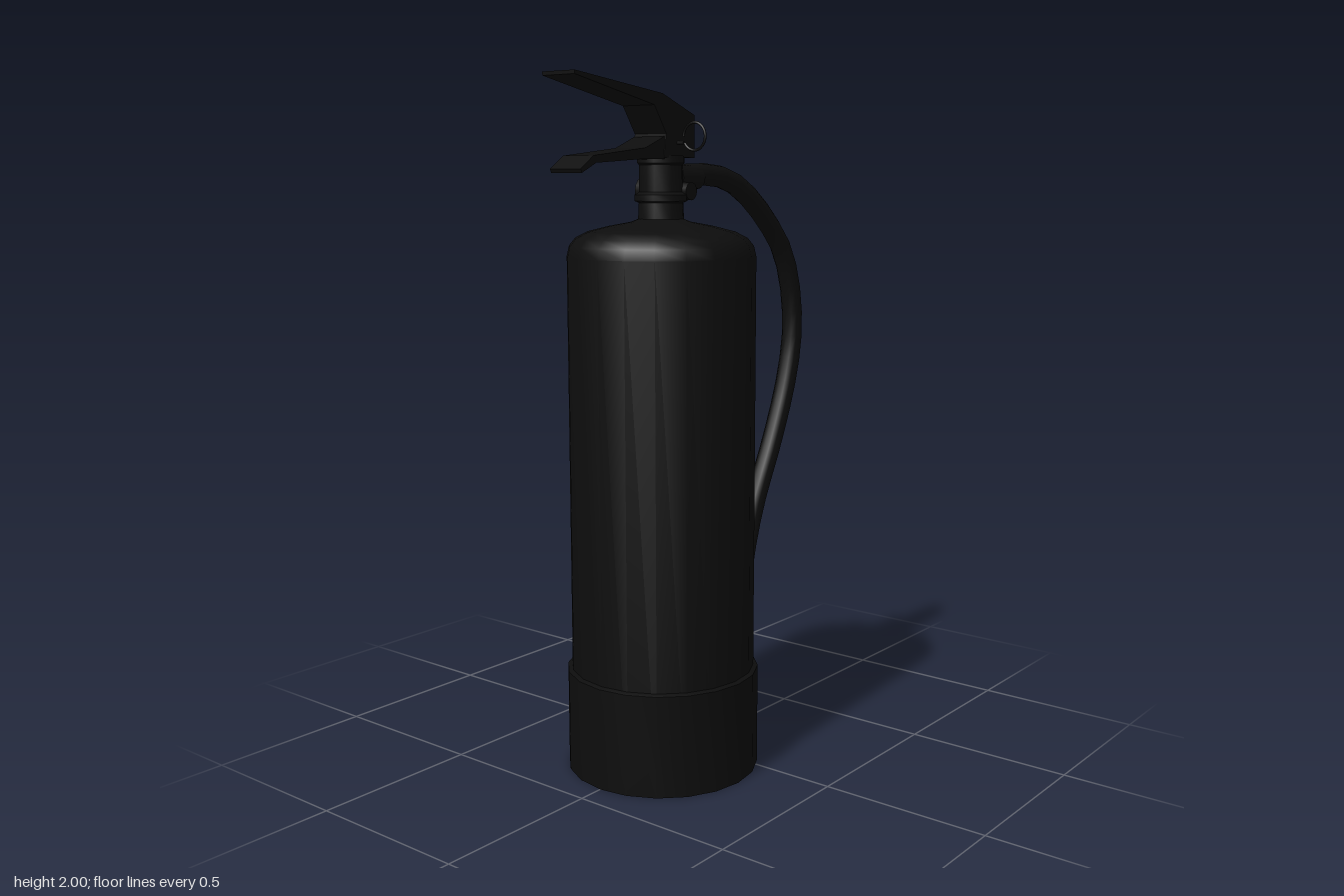
import * as THREE from 'three';
import { toCreasedNormals } from 'three/addons/utils/BufferGeometryUtils.js';

const AXIS = -0.14; // x of the tank's axis
const material = new THREE.MeshStandardMaterial({ color: 0x0d0d0d });
const v2 = (p) => p.map(([x, y]) => new THREE.Vector2(x, y));

export function createModel() {
  const model = new THREE.Group();
  model.name = 'fireExtinguisher';

  const add = (name, geometry, x = 0, y = 0, z = 0) => {
    const mesh = new THREE.Mesh(geometry, material);
    mesh.name = name;
    mesh.position.set(x, y, z);
    model.add(mesh);
    return mesh;
  };
  const lathe = (name, profile, sides, x = AXIS) =>
    add(name, toCreasedNormals(new THREE.LatheGeometry(v2(profile), sides), 0.6), x);
  // Side outline in x/y, extruded symmetrically across z
  const slab = (name, outline, width) => {
    const geometry = new THREE.ExtrudeGeometry(new THREE.Shape(v2(outline)), { depth: width, bevelEnabled: false });
    return add(name, geometry, 0, 0, -width / 2);
  };

  // Tank with a rounded shoulder, and the boot it stands in
  lathe('tank', [
    [0, 0.02], [0.27, 0.02], [0.27, 1.51], [0.263, 1.54], [0.245, 1.562],
    [0.21, 1.58], [0.15, 1.595], [0.085, 1.607], [0.065, 1.615], [0, 1.615],
  ], 20);
  lathe('boot', [[0, 0], [0.283, 0], [0.283, 0.3], [0.27, 0.305], [0, 0.305]], 20);

  // Valve: neck, collar nut and cap under the levers
  lathe('valveNeck', [
    [0, 1.6], [0.066, 1.6], [0.063, 1.66], [0.075, 1.665], [0.075, 1.682],
    [0.062, 1.69], [0.062, 1.765], [0.067, 1.77], [0.067, 1.79], [0, 1.79],
  ], 16);

  // Squeeze lever above, carrying handle below
  slab('squeezeLever', [
    [-0.55, 1.99], [-0.235, 1.925], [-0.185, 1.85], [-0.195, 1.785],
    [-0.06, 1.785], [-0.06, 1.903], [-0.2, 1.957], [-0.55, 2.0],
  ], 0.114);
  slab('carryHandle', [
    [-0.525, 1.742], [-0.47, 1.768], [-0.275, 1.78], [-0.19, 1.78],
    [-0.19, 1.842], [-0.27, 1.81], [-0.48, 1.787], [-0.53, 1.752],
  ], 0.11);

  // Safety pin through the levers, with its pull ring
  add('safetyPin', new THREE.CylinderGeometry(0.005, 0.005, 0.15, 8), -0.135, 1.825, 0.005)
    .rotation.x = Math.PI / 2;
  const ring = add('pullRing', new THREE.TorusGeometry(0.038, 0.004, 6, 24, Math.PI * 1.85), -0.135, 1.842, 0.116);
  ring.rotation.y = Math.PI / 2;

  // Pressure gauge on the back, with a matching plug on the front
  const crossPart = (name, radius, length, x, z) => {
    add(name, new THREE.CylinderGeometry(radius, radius, length, 16), x, 1.692, z).rotation.x = Math.PI / 2;
  };
  crossPart('gauge', 0.043, 0.027, -0.09, -0.09);
  crossPart('gaugeStem', 0.02, 0.08, -0.09, -0.055);
  crossPart('valvePlug', 0.025, 0.06, -0.09, 0.04);

  // Hose coupling
  const coupling = add('hoseCoupling', new THREE.CylinderGeometry(0.034, 0.043, 0.11, 12), -0.035, 1.73, 0);
  coupling.rotation.z = -Math.PI / 2;

  // Hose looping out and back down to the boot
  const path = new THREE.CatmullRomCurve3([
    [-0.1, 1.73], [0.03, 1.74], [0.16, 1.727], [0.265, 1.68], [0.375, 1.595],
    [0.46, 1.5], [0.507, 1.375], [0.518, 1.23], [0.487, 1.085], [0.418, 0.91],
    [0.317, 0.7], [0.262, 0.52], [0.243, 0.36], [0.247, 0.2],
  ].map(([x, y]) => new THREE.Vector3(x, y, 0)));
  add('hose', new THREE.TubeGeometry(path, 26, 0.032, 12));

  // Nozzle at the free end
  lathe('nozzle', [
    [0, 0.125], [0.03, 0.125], [0.03, 0.2], [0.026, 0.21], [0.026, 0.29],
    [0.034, 0.3], [0.034, 0.38], [0, 0.38],
  ], 12, 0.247);

  // Clip holding the nozzle to the boot
  add('clipArm', new THREE.BoxGeometry(0.1, 0.036, 0.045), 0.175, 0.24, 0);
  lathe('clipRing', [[0.024, 0.222], [0.035, 0.222], [0.035, 0.258], [0.024, 0.258]], 12, 0.243);

  return model;
}
